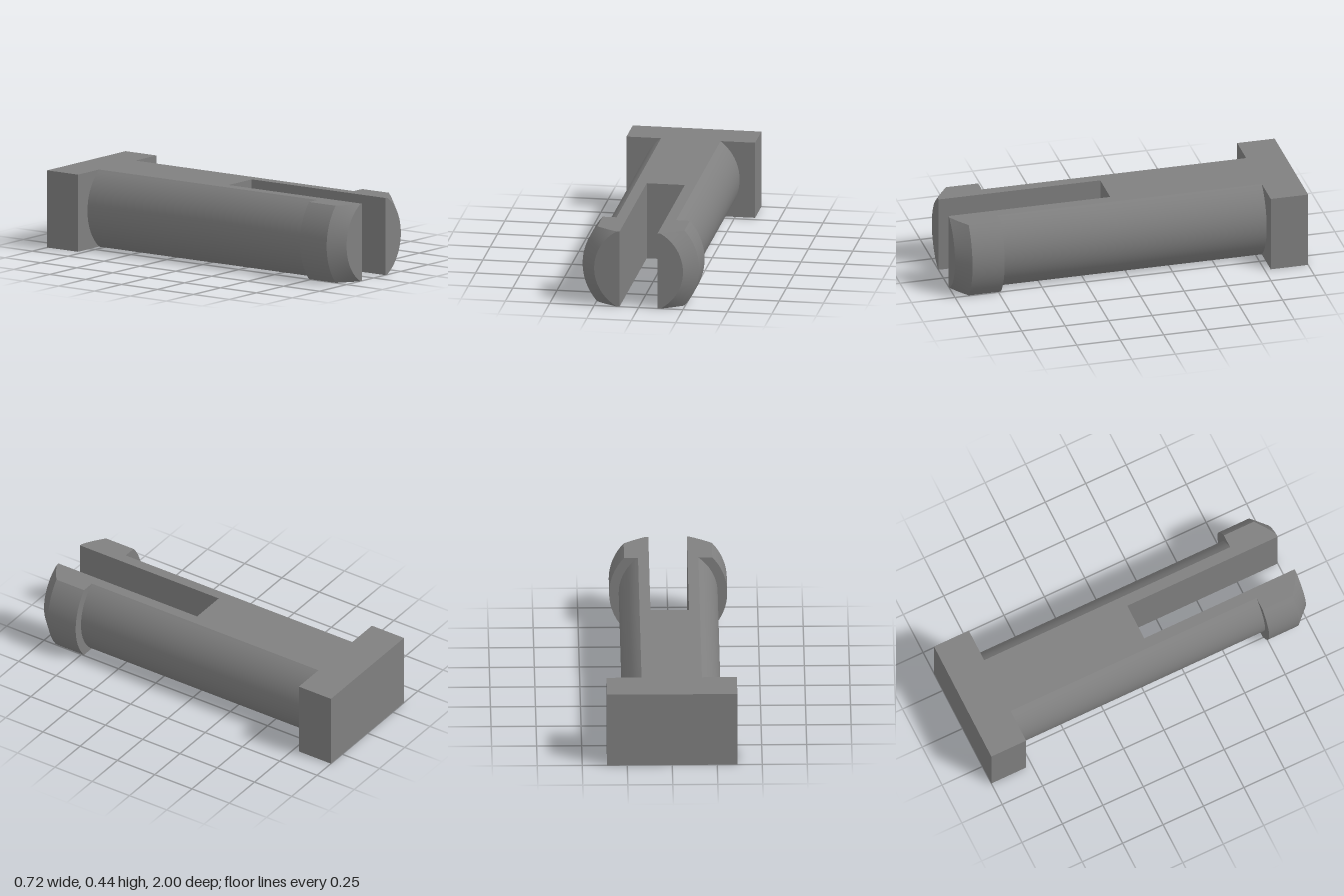
import * as THREE from 'three';
import { toCreasedNormals } from 'three/addons/utils/BufferGeometryUtils.js';

const H = 0.218;        // half height between the two flats
const SLOT = 0.107;     // half width of the slot
const SHAFT_R = 0.275, COLLAR_R = 0.328, TIP_R = 0.25;
const HEAD_Z = -0.785, SLOT_Z = 0.07, COLLAR_Z = 0.735, CHAMFER_Z = 0.92;
const STEPS = 24, CREASE = 0.5;

// Right-hand arc of a circle, cut off by the top and bottom flats
function arc(r) {
  const a = Math.asin(H / r);
  return Array.from({ length: STEPS + 1 }, (_, i) => {
    const t = -a + (2 * a * i) / STEPS;
    return new THREE.Vector2(r * Math.cos(t), r * Math.sin(t));
  });
}

// D-shaped section of one prong
function section(r) {
  return [new THREE.Vector2(SLOT, -H), ...arc(r), new THREE.Vector2(SLOT, H)];
}

// Skin sections given as [z, radius], closing the front end
function loft(rows) {
  const rings = rows.map(([z, r]) => section(r).map(p => [p.x, p.y, z]));
  const n = rings[0].length, pos = [];
  const tri = (...pts) => pts.forEach(p => pos.push(...p));
  for (let k = 0; k < rings.length - 1; k++) {
    const a = rings[k], b = rings[k + 1];
    for (let j = 0; j < n; j++) {
      const m = (j + 1) % n;
      tri(a[j], a[m], b[m]);
      tri(a[j], b[m], b[j]);
    }
  }
  const end = rings[rings.length - 1];
  for (let j = 1; j < n - 1; j++) tri(end[0], end[j], end[j + 1]);
  const geo = new THREE.BufferGeometry();
  geo.setAttribute('position', new THREE.Float32BufferAttribute(pos, 3));
  return toCreasedNormals(geo, CREASE);
}

export function createModel() {
  const model = new THREE.Group();
  model.name = 'clevisPin';
  model.position.y = H;
  const grey = new THREE.MeshStandardMaterial({ color: 0x808080 });
  grey.name = 'grey';
  const add = (name, geo) => {
    const mesh = new THREE.Mesh(geo, grey);
    mesh.name = name;
    model.add(mesh);
    return mesh;
  };

  // Rectangular head
  const depth = HEAD_Z + 1;
  add('head', new THREE.BoxGeometry(0.724, 2 * H, depth)).position.z = -1 + depth / 2;

  // Solid shaft with flat top and bottom
  const right = arc(SHAFT_R);
  const left = right.map(p => p.clone().negate());
  const shaft = new THREE.ExtrudeGeometry(new THREE.Shape([...right, ...left]),
    { depth: SLOT_Z - HEAD_Z, bevelEnabled: false });
  add('shaft', toCreasedNormals(shaft, CREASE)).position.z = HEAD_Z;

  // Two prongs with a stepped collar and a chamfered tip
  const rows = [[SLOT_Z, SHAFT_R], [COLLAR_Z, SHAFT_R], [COLLAR_Z, COLLAR_R]];
  for (let i = 0; i <= 6; i++) {
    const t = i / 6;
    rows.push([CHAMFER_Z + (1 - CHAMFER_Z) * t, COLLAR_R + (TIP_R - COLLAR_R) * t]);
  }
  const prong = loft(rows);
  add('leftProng', prong);
  add('rightProng', prong).rotation.z = Math.PI;

  const root = new THREE.Group();
  root.name = 'slottedPin';
  model.name = 'pinBody';
  root.add(model);
  return root;
}
